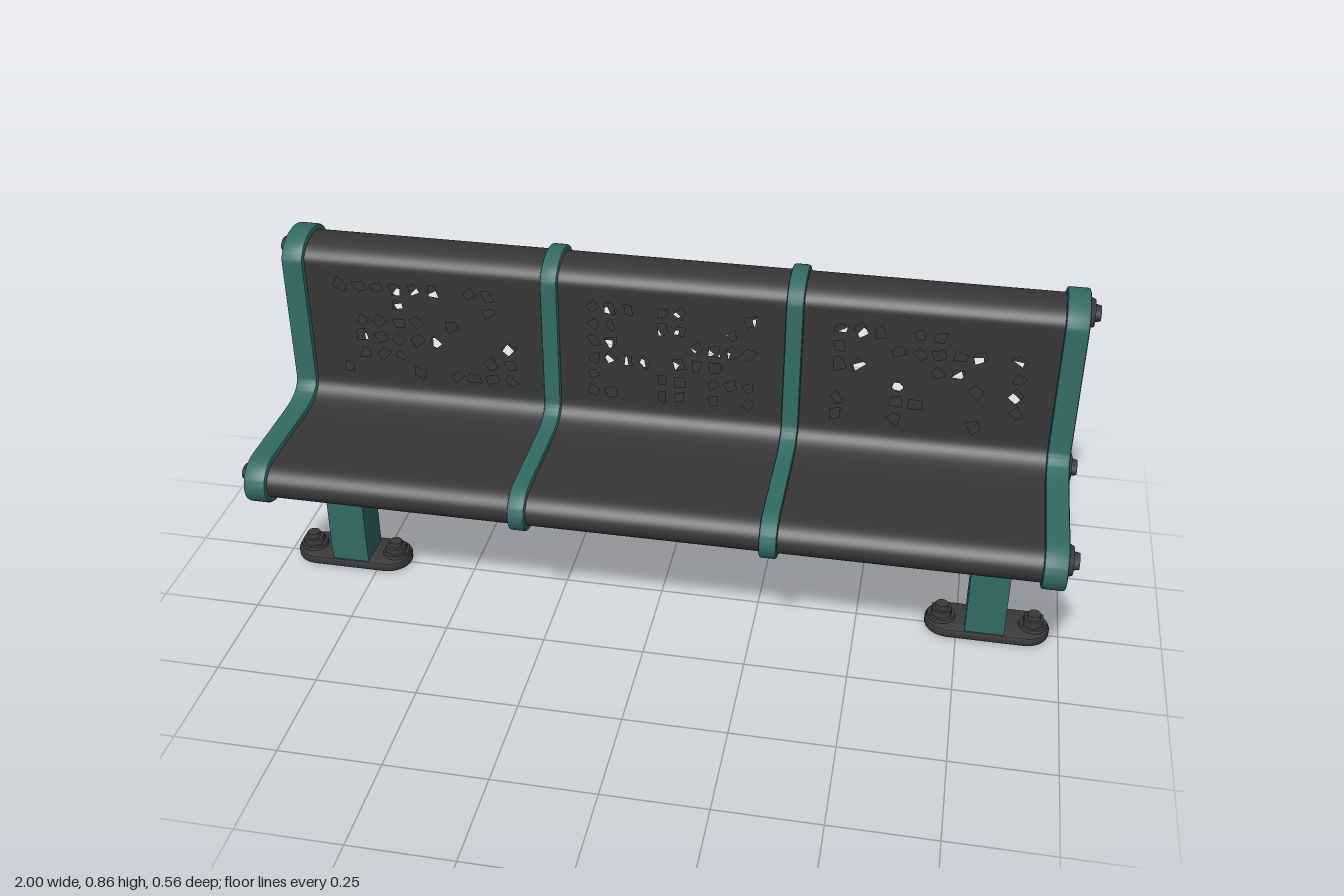
import * as THREE from 'three';
import { toCreasedNormals } from 'three/addons/utils/BufferGeometryUtils.js';

const green = new THREE.MeshStandardMaterial({ color: 0x336b66 });
green.name = 'green paint';
const dark = new THREE.MeshStandardMaterial({ color: 0x3a3a3a });
dark.name = 'dark metal';
const sheetMetal = new THREE.MeshStandardMaterial({ color: 0x363636, side: THREE.DoubleSide });
sheetMetal.name = 'dark sheet';

const INSET = 0.014; // sheet metal sits this far inside the frame outline

function seededRandom(seed) {
  return () => (seed = (seed * 16807) % 2147483647) / 2147483647;
}

// Side outline in (z, y): seat, rounded front, underside and lower back corner
function lowerOutline(path, d) {
  path.moveTo(-0.1 - d, 0.48);
  path.quadraticCurveTo(-0.1 - d, 0.435 - d, 0, 0.435 - d);
  path.lineTo(0.21, 0.435 - d);
  path.absellipse(0.21, 0.375, 0.07 - d, 0.06 - d, Math.PI / 2, -Math.PI / 2, true);
  path.lineTo(-0.2, 0.315 + d);
  path.absellipse(-0.2, 0.385, 0.08 - d, 0.07 - d, -Math.PI / 2, -Math.PI, true);
  return path;
}

// Rounded top of the backrest
function upperOutline(path, d) {
  path.absellipse(-0.19, 0.795, 0.09 - d, 0.06 - d, Math.PI, 0, true);
  return path;
}

function mesh(parent, name, geometry, material, x = 0, y = 0, z = 0) {
  const m = new THREE.Mesh(geometry, material);
  m.name = name;
  m.position.set(x, y, z);
  parent.add(m);
  return m;
}

function frameGeometry(width) {
  const bevel = 0.006;
  const g = new THREE.ExtrudeGeometry(upperOutline(lowerOutline(new THREE.Shape(), 0), 0), {
    depth: width - 2 * bevel, bevelThickness: bevel, bevelSize: bevel,
    bevelOffset: -bevel, bevelSegments: 2, curveSegments: 12,
  });
  g.translate(0, 0, bevel - width / 2);
  g.rotateY(-Math.PI / 2);
  return toCreasedNormals(g, 0.5);
}

// Curved sheet: a side path swept along x
function ribbon(path, width) {
  const pts = path.getPoints(14);
  const pos = [], idx = [];
  pts.forEach((p, i) => {
    pos.push(-width / 2, p.y, p.x, width / 2, p.y, p.x);
    if (i) {
      const a = 2 * (i - 1);
      idx.push(a, a + 2, a + 1, a + 1, a + 2, a + 3);
    }
  });
  const g = new THREE.BufferGeometry();
  g.setAttribute('position', new THREE.Float32BufferAttribute(pos, 3));
  g.setIndex(idx);
  g.computeVertexNormals();
  return g;
}

// Flat sheet with irregular ragged openings inside a plain border
function perforatedSheet(width, y0, y1, seed) {
  const rnd = seededRandom(seed);
  const w = width / 2;
  const shape = new THREE.Shape();
  shape.moveTo(-w, y0).lineTo(w, y0).lineTo(w, y1).lineTo(-w, y1).closePath();
  const cols = 10, rows = 6, border = 0.085;
  const cw = (width - 2 * border) / cols, ch = (0.77 - 0.49) / rows;
  for (let c = 0; c < cols; c++) {
    for (let r = 0; r < rows; r++) {
      if (rnd() > 0.42) continue;
      const cx = -w + border + (c + 0.5) * cw, cy = 0.49 + (r + 0.5) * ch;
      const hole = new THREE.Path();
      const start = rnd() * 6;
      const pts = [];
      for (let k = 0; k < 4; k++) {
        const a = start + (k + 0.5 * rnd()) * Math.PI / 2;
        const s = 0.3 + 0.18 * rnd();
        pts.push(new THREE.Vector2(cx + Math.cos(a) * cw * s, cy + Math.sin(a) * ch * s));
      }
      hole.setFromPoints(pts);
      hole.closePath();
      shape.holes.push(hole);
    }
  }
  return new THREE.ShapeGeometry(shape);
}

// Rounded-end plate lying flat
function stadium(length, width, height, bevel) {
  const r = width / 2, s = length / 2 - r;
  const shape = new THREE.Shape();
  shape.absarc(s, 0, r, -Math.PI / 2, Math.PI / 2, false);
  shape.absarc(-s, 0, r, Math.PI / 2, Math.PI * 1.5, false);
  const g = new THREE.ExtrudeGeometry(shape, {
    depth: height - 2 * bevel, bevelEnabled: bevel > 0, bevelThickness: bevel,
    bevelSize: bevel, bevelOffset: -bevel, bevelSegments: 2, curveSegments: 14,
  });
  g.translate(0, 0, bevel);
  g.rotateX(-Math.PI / 2);
  return toCreasedNormals(g, 0.5);
}

export function createModel() {
  const bench = new THREE.Group();
  bench.name = 'bench';

  // Two wide end frames and two slim dividers
  const endFrame = frameGeometry(0.055), divider = frameGeometry(0.042);
  for (const side of [-1, 1]) {
    mesh(bench, 'endFrame', endFrame, green, side * 0.946);
    mesh(bench, 'dividerFrame', divider, green, side * 0.298);
  }

  // Three bays of sheet metal
  [[-0.94, -0.298], [-0.298, 0.298], [0.298, 0.94]].forEach(([x0, x1], i) => {
    const bay = new THREE.Group();
    bay.name = 'seatBay';
    bay.position.x = (x0 + x1) / 2;
    bench.add(bay);
    const w = x1 - x0;
    mesh(bay, 'seatSkin', ribbon(lowerOutline(new THREE.Path(), INSET), w), sheetMetal);
    mesh(bay, 'topRail', ribbon(upperOutline(new THREE.Path(), INSET), w), sheetMetal);
    mesh(bay, 'backrestFront', perforatedSheet(w, 0.48, 0.795, 101 + i * 977), sheetMetal,
      0, 0, -0.1 - INSET);
    const rear = mesh(bay, 'backrestRear', perforatedSheet(w, 0.385, 0.795, 5003 + i * 811),
      sheetMetal, 0, 0, -0.28 + INSET);
    rear.rotation.y = Math.PI;
  });

  // Oval bolts on the outer faces
  const washer = new THREE.CylinderGeometry(0.85, 1, 0.014, 24).rotateZ(-Math.PI / 2);
  const head = new THREE.CylinderGeometry(0.85, 1, 0.014, 12).rotateZ(-Math.PI / 2);
  for (const side of [-1, 1]) {
    for (const [y, z] of [[0.377, 0.2], [0.377, -0.195], [0.804, -0.195]]) {
      const bolt = new THREE.Group();
      bolt.name = 'sideBolt';
      bolt.position.set(side * 0.979, y, z);
      if (side < 0) bolt.rotation.y = Math.PI;
      bench.add(bolt);
      mesh(bolt, 'washer', washer, dark).scale.set(1, 0.035, 0.048);
      mesh(bolt, 'boltHead', head, dark, 0.014).scale.set(1, 0.02, 0.028);
    }
  }

  // Legs with base plates and anchor bolts
  const plate = stadium(0.306, 0.117, 0.024, 0.005);
  const underside = stadium(0.29, 0.104, 0.004, 0);
  for (const side of [-1, 1]) {
    const leg = new THREE.Group();
    leg.name = 'leg';
    leg.position.x = side * 0.823;
    bench.add(leg);
    mesh(leg, 'post', new THREE.BoxGeometry(0.096, 0.325, 0.102), green, -side * 0.005, 0.1825, 0.003);
    mesh(leg, 'mountingTab', new THREE.BoxGeometry(0.07, 0.045, 0.07), green, -side * 0.002, 0.3175, 0.071);
    mesh(leg, 'basePlate', plate, dark, 0, 0.003, 0);
    mesh(leg, 'plateUnderside', underside, green);
    for (const x of [-0.113, 0.113]) {
      mesh(leg, 'anchorWasher', new THREE.CylinderGeometry(0.034, 0.036, 0.008, 20), dark, x, 0.031, 0);
      mesh(leg, 'anchorNut', new THREE.CylinderGeometry(0.027, 0.029, 0.018, 6), dark, x, 0.043, 0);
      mesh(leg, 'anchorStud', new THREE.CylinderGeometry(0.016, 0.018, 0.014, 12), dark, x, 0.057, 0);
    }
  }
  return bench;
}
